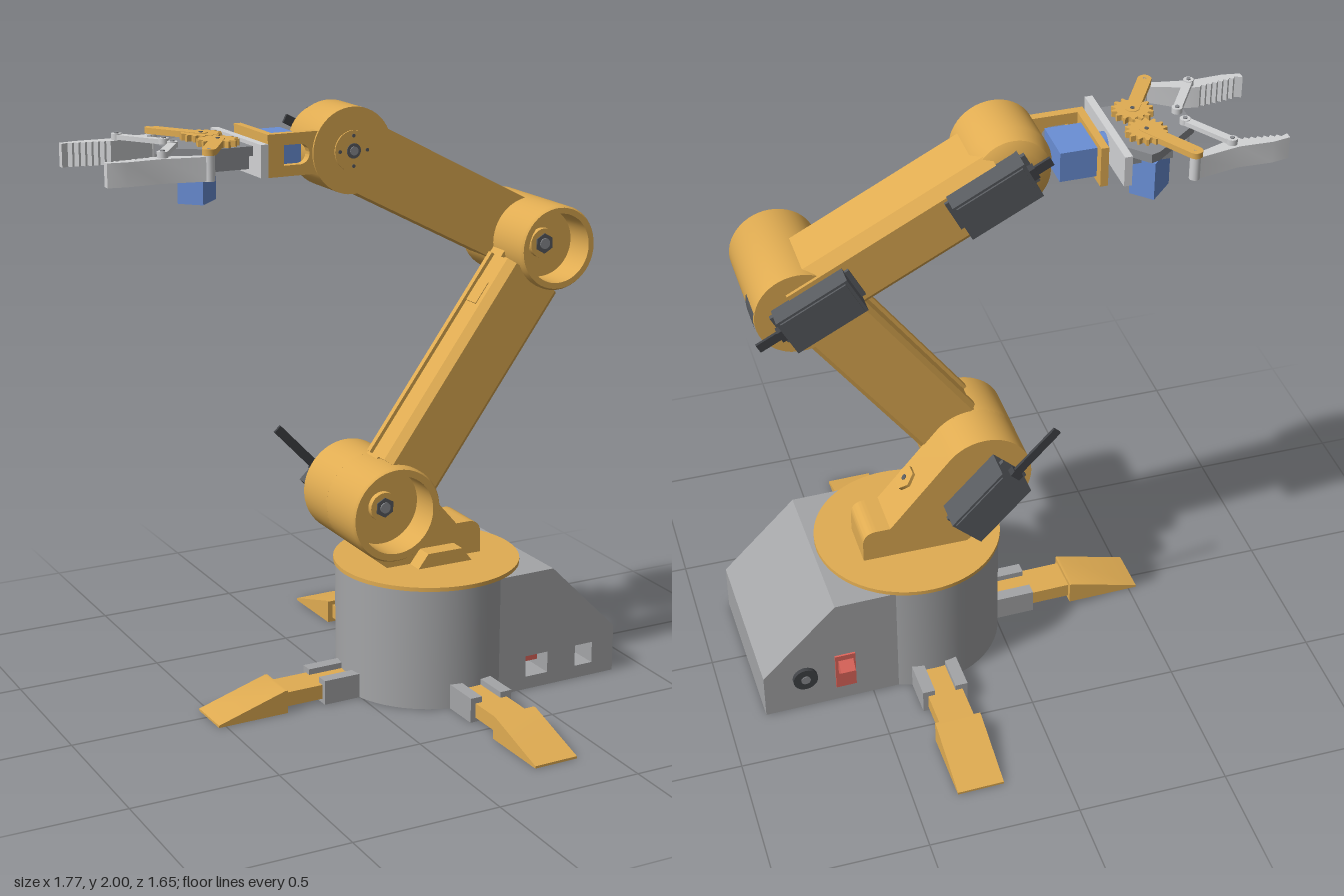
import * as THREE from 'three';
import { toCreasedNormals } from 'three/addons/utils/BufferGeometryUtils.js';

const mat = (name, color) => Object.assign(new THREE.MeshStandardMaterial({ color }), { name });

export function createModel() {
  const orange = mat('orange', 0xe0ac52), grey = mat('baseGrey', 0xa4a5a7), light = mat('lightGrey', 0xd2d3d5);
  const palmGrey = mat('palmGrey', 0x8c8e92), dark = mat('servoDark', 0x585b5f), black = mat('black', 0x404246);
  const blue = mat('blue', 0x6a8fd6), red = mat('red', 0xe0665c);
  const root = new THREE.Group();

  const group = (name, parent, x = 0, y = 0, z = 0) => {
    const g = new THREE.Group();
    g.name = name;
    g.position.set(x, y, z);
    parent.add(g);
    return g;
  };
  const add = (parent, name, geo, m, x = 0, y = 0, z = 0) => {
    const mesh = new THREE.Mesh(geo, m);
    mesh.name = name;
    mesh.position.set(x, y, z);
    parent.add(mesh);
    return mesh;
  };
  // box from minimum and maximum corners
  const box = (parent, name, m, a, b) => add(parent, name,
    new THREE.BoxGeometry(b[0] - a[0], b[1] - a[1], b[2] - a[2]), m,
    (a[0] + b[0]) / 2, (a[1] + b[1]) / 2, (a[2] + b[2]) / 2);
  const toShape = pts => new THREE.Shape(pts.map(p => new THREE.Vector2(p[0], p[1])));
  const extrude = (shape, depth) => toCreasedNormals(
    new THREE.ExtrudeGeometry(shape, { depth, bevelEnabled: false, curveSegments: 16 }), 0.6);
  // outline in x,y with a z range
  const plate = (parent, name, m, shape, z0, z1) => add(parent, name, extrude(shape, z1 - z0), m, 0, 0, z0);
  // outline in x,z with a y range
  const slab = (parent, name, m, pts, y0, y1) =>
    add(parent, name, extrude(toShape(pts.map(p => [p[0], -p[1]])), y1 - y0).rotateX(-Math.PI / 2), m, 0, y0, 0);
  // cross-section [depth z, width y] run along local x
  const beam = (parent, name, m, pts, x0, x1) =>
    add(parent, name, extrude(toShape(pts.map(p => [-p[0], p[1]])), x1 - x0).rotateY(Math.PI / 2), m, x0);
  // turned part along z, profile of [radius, z]
  const turned = (parent, name, m, prof, x, y) => add(parent, name, toCreasedNormals(
    new THREE.LatheGeometry(prof.map(p => new THREE.Vector2(p[0], p[1])), 48), 0.6).rotateX(Math.PI / 2), m, x, y, 0);
  const disc = (parent, name, m, r, x, y, z0, z1, n = 24) => add(parent, name,
    new THREE.CylinderGeometry(r, r, z1 - z0, n).rotateX(Math.PI / 2), m, x, y, (z0 + z1) / 2);
  // flat link with round ends
  const link = (parent, name, m, a, b, r, y0, y1) => {
    const ang = Math.atan2(b[1] - a[1], b[0] - a[0]), pts = [];
    for (let i = 0; i < 18; i++) {
      const t = ang + Math.PI / 2 + (i % 9) / 8 * Math.PI + (i < 9 ? 0 : Math.PI), c = i < 9 ? a : b;
      pts.push([c[0] + r * Math.cos(t), c[1] + r * Math.sin(t)]);
    }
    return slab(parent, name, m, pts, y0, y1);
  };

  // ---- base housing, with two socket openings in the front wall
  const base = group('base', root, 0.295, 0, 0);
  base.rotation.y = 0.021;
  add(base, 'drum', new THREE.CylinderGeometry(0.31, 0.31, 0.42, 64), grey, 0, 0.21, 0);
  const side = () => toShape([[0, 0], [0.585, 0], [0.585, 0.165], [0.33, 0.419], [0, 0.419]]);
  plate(base, 'housing', grey, side(), -0.285, 0.15);
  const wall = side();
  for (const [x0, x1] of [[0.228, 0.316], [0.428, 0.498]]) {
    wall.holes.push(new THREE.Path([[x0, 0.045], [x0, 0.12], [x1, 0.12], [x1, 0.045]].map(p => new THREE.Vector2(...p))));
  }
  plate(base, 'housingFrontWall', grey, wall, 0.15, 0.285);
  box(base, 'socketInsert', red, [0.264, 0.072, 0.14], [0.314, 0.115, 0.225]);
  box(base, 'socketJack', dark, [0.432, 0.095, 0.14], [0.475, 0.118, 0.23]);
  add(base, 'turntable', new THREE.CylinderGeometry(0.317, 0.317, 0.014, 64), orange, 0, 0.427, 0);
  // power switch and jack on the back side
  box(base, 'switchFrame', red, [0.27, 0.06, -0.292], [0.34, 0.2, -0.28]);
  box(base, 'switchRocker', red, [0.28, 0.137, -0.321], [0.33, 0.179, -0.279]).rotation.x = Math.PI / 4;
  disc(base, 'powerJack', black, 0.042, 0.445, 0.135, -0.3, -0.28);
  disc(base, 'jackHole', palmGrey, 0.016, 0.445, 0.135, -0.303, -0.28);

  // ---- three feet, each built along +x
  for (const a of [Math.PI, Math.PI / 2, -Math.PI / 2]) {
    const foot = group('foot', base);
    foot.rotation.y = a;
    for (const s of [-1, 1]) {
      box(foot, 'bracketWall', grey, [0.28, 0, s * 0.057 - 0.021], [0.432, 0.085, s * 0.057 + 0.021]);
    }
    box(foot, 'neck', orange, [0.28, 0.015, -0.06], [0.585, 0.065, 0.06]);
    box(foot, 'bracketFloor', grey, [0.28, 0, -0.04], [0.432, 0.016, 0.04]);
    plate(foot, 'toe', orange, toShape([[0.57, 0], [0.822, 0], [0.822, 0.008], [0.58, 0.08], [0.57, 0.08]]), -0.078, 0.078);
  }

  // ---- shoulder mount
  const S = [0.05, 0.69], E = [0.645, 1.51], W = [-0.035, 1.862];
  const shoulder = group('shoulder', root);
  const mount = new THREE.Shape();
  mount.moveTo(0.12, 0.43);
  mount.lineTo(0.475, 0.43);
  mount.lineTo(0.475, 0.5);
  mount.quadraticCurveTo(0.475, 0.55, 0.425, 0.55);
  mount.lineTo(0.38, 0.55);
  mount.lineTo(S[0] + 0.16 * Math.cos(0.7), S[1] + 0.16 * Math.sin(0.7));
  mount.absarc(S[0], S[1], 0.16, 0.7, Math.PI + 0.85, false);
  plate(shoulder, 'mount', orange, mount, -0.115, 0.055);
  plate(shoulder, 'rib', orange, toShape([[0.2, 0.43], [0.41, 0.43], [0.37, 0.482], [0.24, 0.482]]), 0.05, 0.115);
  add(shoulder, 'hexNut', new THREE.CylinderGeometry(0.042, 0.042, 0.04, 6), orange, 0.285, 0.65, 0).rotation.z = -0.8;
  add(shoulder, 'nutCentre', new THREE.CylinderGeometry(0.01, 0.01, 0.044, 12), dark, 0.285, 0.65, 0).rotation.z = -0.8;

  // servo with mounting ears; its lead leaves at local +x
  const servo = (name, x, y, angle, lead) => {
    const g = group(name, root, x, y, 0);
    g.rotation.z = angle;
    box(g, 'servoBody', dark, [-0.125, -0.068, -0.222], [0.125, 0.068, -0.1]);
    box(g, 'servoCap', dark, [-0.115, -0.06, -0.228], [0.115, 0.06, -0.2]);
    box(g, 'servoEars', dark, [-0.14, -0.055, -0.165], [0.14, 0.055, -0.15]);
    box(g, 'leadBoot', black, [0.12, -0.02, -0.2], [0.145, 0.02, -0.17]);
    box(g, 'lead', black, [0.14, -0.015, -0.19], [0.14 + lead, 0.015, -0.18]);
  };
  const lowerAngle = Math.atan2(E[1] - S[1], E[0] - S[0]), upperAngle = Math.atan2(W[1] - E[1], W[0] - E[0]);
  servo('shoulderServo', 0.06, 0.65, 2.33, 0.2);
  servo('elbowServo', 0.59, 1.535, upperAngle + Math.PI, 0.08);
  servo('wristServo', 0.04, 1.84, upperAngle, 0.06);

  // ---- hubs: open cups with a screw and horn at the bottom
  const cup = (name, c, R, z0, z1, depth) => {
    const g = group(name, root);
    turned(g, 'cup', orange, [[0, z0], [R, z0], [R, z1 - 0.01], [R - 0.006, z1], [R * 0.82, z1],
      [R * 0.82, z1 - depth], [0, z1 - depth]], c[0], c[1]);
    disc(g, 'horn', orange, 0.05, c[0], c[1], z1 - depth, z1 - depth + 0.02);
    disc(g, 'screwRing', dark, 0.034, c[0], c[1], z1 - depth, z1 - depth + 0.024, 6);
    disc(g, 'screw', palmGrey, 0.018, c[0], c[1], z1 - depth, z1 - depth + 0.028);
  };
  cup('shoulderHub', S, 0.16, 0.045, 0.248, 0.11);
  cup('elbowHub', E, 0.14, -0.15, 0.237, 0.11);
  // servo side seen through the rear of the elbow hub
  add(root, 'elbowServoWindow', new THREE.CylinderGeometry(0.143, 0.143, 0.11, 12, 1, true, Math.PI / 2 - 0.64, 0.85)
    .rotateX(Math.PI / 2), dark, E[0], E[1], -0.095);

  // ---- lower arm: chamfered beam with a shallow groove down both edges
  const lower = group('lowerArm', root, S[0], S[1], 0);
  lower.rotation.z = lowerAngle;
  beam(lower, 'lowerBeam', orange, [[0.05, -0.1], [0.065, -0.116], [0.085, -0.116], [0.085, -0.104], [0.165, -0.104],
    [0.165, -0.116], [0.185, -0.116], [0.21, -0.092], [0.21, 0.092], [0.185, 0.116], [0.165, 0.116],
    [0.165, 0.104], [0.085, 0.104], [0.085, 0.116], [0.065, 0.116], [0.05, 0.1]], 0.13, 0.897);
  box(lower, 'lowerBeamCore', orange, [0.1, -0.104, 0.055], [0.93, 0.104, 0.127]);
  for (const s of [-1, 1]) {
    box(lower, 'grooveBlock', orange, [0.72, s * 0.1 - 0.012, 0.095], [0.8, s * 0.1 + 0.012, 0.155]);
  }

  // ---- upper arm
  const upper = group('upperArm', root, E[0], E[1], 0);
  upper.rotation.z = upperAngle;
  beam(upper, 'upperBeam', orange, [[0.055, -0.113], [0.055, 0.113], [-0.12, 0.113], [-0.155, 0.08],
    [-0.155, -0.08], [-0.12, -0.113]], 0, 0.74);

  // ---- wrist hub with a face ring and screws
  const wrist = group('wrist', root);
  turned(wrist, 'wristHub', orange, [[0, -0.145], [0.09, -0.145], [0.12, -0.125], [0.138, -0.075], [0.138, 0.095], [0, 0.095]], W[0], W[1]);
  disc(wrist, 'faceRing', orange, 0.065, W[0], W[1], 0.09, 0.1);
  disc(wrist, 'faceScrewRing', dark, 0.024, W[0], W[1], 0.09, 0.103);
  disc(wrist, 'faceScrew', palmGrey, 0.014, W[0], W[1], 0.09, 0.106);
  for (let i = 0; i < 4; i++) {
    const t = i * Math.PI / 2;
    disc(wrist, 'faceHole', dark, 0.006, W[0] + 0.048 * Math.cos(t), W[1] + 0.048 * Math.sin(t), 0.09, 0.102, 10);
  }

  // L-shaped wrist bracket with a slot, holding the roll servo
  const arm = toShape([[-0.325, 1.798], [-0.1, 1.798], [-0.1, 1.932], [-0.325, 1.932]]);
  const hole = new THREE.Path();
  hole.moveTo(-0.27, 1.832);
  hole.lineTo(-0.215, 1.832);
  hole.absarc(-0.215, 1.864, 0.032, -Math.PI / 2, Math.PI / 2, false);
  hole.lineTo(-0.27, 1.896);
  arm.holes.push(hole);
  plate(wrist, 'bracketArm', orange, arm, 0.06, 0.088);
  box(wrist, 'bracketFace', orange, [-0.325, 1.798, -0.165], [-0.3, 1.932, 0.088]);
  box(wrist, 'rollServo', blue, [-0.305, 1.815, -0.13], [-0.182, 1.915, 0.025]);
  add(wrist, 'rollSpindle', new THREE.CylinderGeometry(0.036, 0.036, 0.07, 24), blue, -0.335, 1.865, -0.03).rotation.z = Math.PI / 2;

  // ---- gripper, mirrored about z = -0.02
  const grip = group('gripper', root, 0, 0, -0.02);
  box(grip, 'gripperPlate', light, [-0.385, 1.815, -0.19], [-0.36, 1.917, 0.187]);
  slab(grip, 'palm', palmGrey, [[-0.635, -0.05], [-0.635, 0.05], [-0.52, 0.13], [-0.385, 0.13], [-0.385, -0.11], [-0.45, -0.18], [-0.48, -0.17]], 1.875, 1.905);
  box(grip, 'palmBlock', palmGrey, [-0.55, 1.83, -0.1], [-0.385, 1.88, 0.1]);
  add(grip, 'gripServo', new THREE.BoxGeometry(0.085, 0.13, 0.11), blue, -0.49, 1.775, -0.065).rotation.y = -Math.PI / 4;
  for (const s of [-1, 1]) {
    const at = (x, d) => [x, s * d];
    const gear = [];
    for (let i = 0; i < 56; i++) {
      const t = i / 56 * Math.PI * 2, r = i % 4 < 2 ? 0.066 : 0.052;
      gear.push([-0.473 + r * Math.cos(t), s * 0.064 + r * Math.sin(t)]);
    }
    slab(grip, 'gear', orange, gear, 1.905, 1.925);
    link(grip, 'gearArm', orange, at(-0.473, 0.064), at(-0.572, 0.226), 0.022, 1.908, 1.927);
    add(grip, 'gearScrew', new THREE.CylinderGeometry(0.007, 0.007, 0.03, 12), dark, -0.473, 1.914, s * 0.064);
    link(grip, 'sideLink', light, at(-0.61, 0.035), at(-0.705, 0.186), 0.014, 1.905, 1.92);
    for (const [x, d] of [[-0.61, 0.035], [-0.705, 0.186], [-0.572, 0.226]]) {
      add(grip, 'pivot', new THREE.CylinderGeometry(0.017, 0.017, 0.094, 16), light, x, 1.876, s * d);
      add(grip, 'pivotPin', new THREE.CylinderGeometry(0.007, 0.007, 0.1, 12), palmGrey, x, 1.877, s * d);
    }
    // jaw with a toothed inner edge
    const jaw = [at(-0.57, 0.238), at(-0.572, 0.212), at(-0.69, 0.17), at(-0.725, 0.162)];
    for (let i = 0; i < 7; i++) jaw.push(at(-0.735 - i * 0.02, 0.16 + i * 0.003), at(-0.745 - i * 0.02, 0.172 + i * 0.003));
    jaw.push(at(-0.888, 0.18), at(-0.888, 0.204), at(-0.83, 0.214), at(-0.72, 0.21));
    slab(grip, 'jaw', light, jaw, 1.83, 1.904);
  }
  return root;
}
